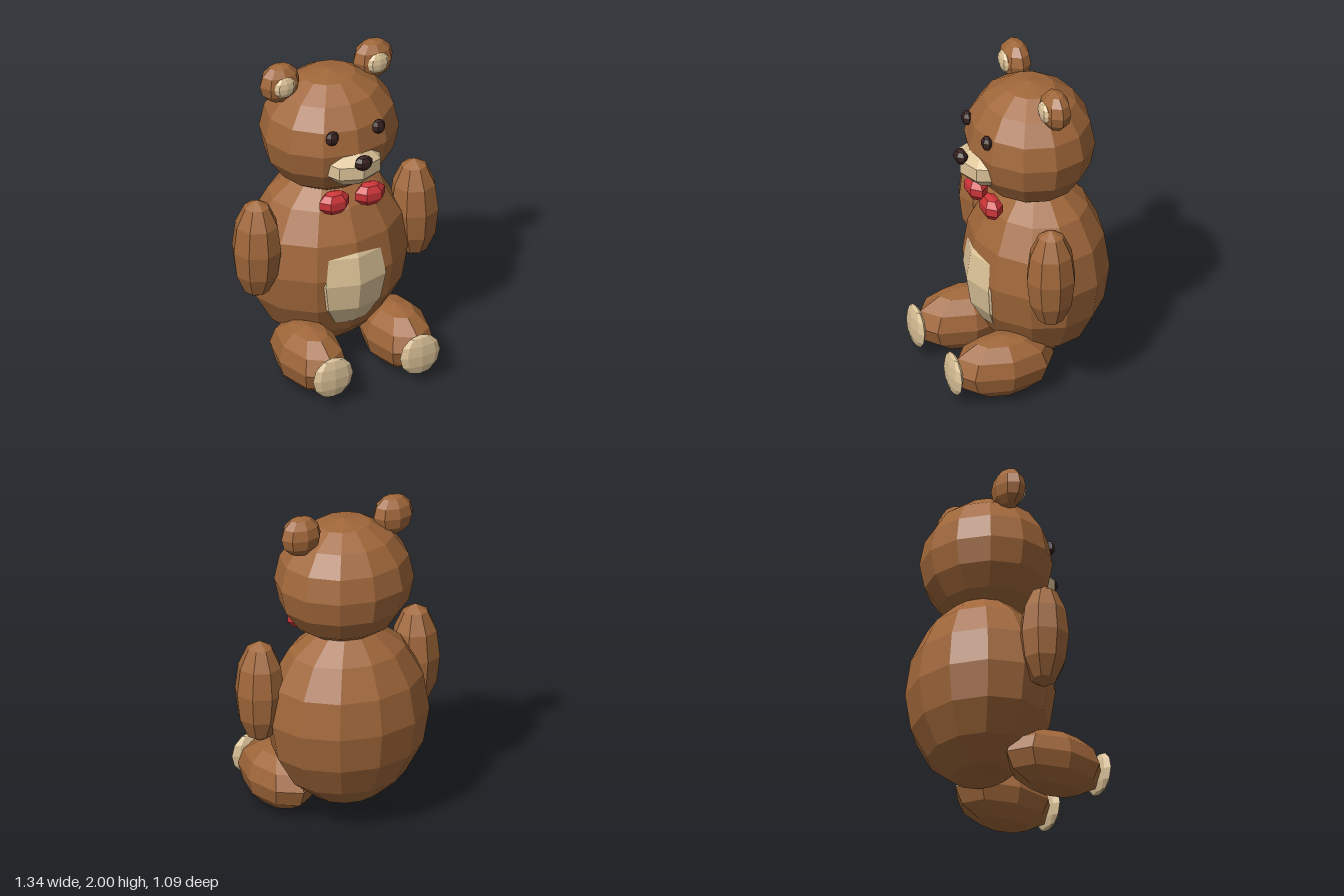
import * as THREE from 'three';

const material = (color) => new THREE.MeshStandardMaterial({ color, flatShading: true });

export function createModel() {
  const bear = new THREE.Group();
  bear.name = 'teddyBear';

  const fur = material(0xa0673a);
  const cream = material(0xdcc398);
  const dark = material(0x35211f);
  const red = material(0xcc3538);

  // Every part is a faceted ellipsoid: centre, radii, segments around and up
  function blob(name, mat, [x, y, z], [rx, ry, rz], around = 8, up = 6) {
    const geometry = new THREE.SphereGeometry(1, around, up);
    geometry.scale(rx, ry, rz);
    const mesh = new THREE.Mesh(geometry, mat);
    mesh.name = name;
    mesh.position.set(x, y, z);
    bear.add(mesh);
  }

  // Torso and head
  blob('body', fur, [0, 0.68, -0.13], [0.5, 0.575, 0.42], 12, 8);
  blob('head', fur, [0, 1.52, -0.09], [0.42, 0.385, 0.38], 12, 8);
  blob('bellyPatch', cream, [0, 0.64, 0.11], [0.28, 0.34, 0.2]);

  // Face
  blob('muzzle', cream, [0, 1.42, 0.18], [0.2, 0.13, 0.18], 8, 5);
  blob('nose', dark, [0, 1.49, 0.347], [0.06, 0.047, 0.042], 6, 5);

  // Mirrored parts
  for (const [side, s] of [['left', 1], ['right', -1]]) {
    blob(side + 'Ear', fur, [s * 0.308, 1.875, -0.125], [0.13, 0.125, 0.09]);
    blob(side + 'InnerEar', cream, [s * 0.308, 1.875, -0.055], [0.07, 0.068, 0.03]);
    blob(side + 'Eye', dark, [s * 0.153, 1.643, 0.245], [0.044, 0.046, 0.034], 6, 5);
    blob(side + 'BowLoop', red, [s * 0.118, 1.178, 0.202], [0.104, 0.075, 0.065], 6, 5);
    blob(side + 'Arm', fur, [s * 0.52, 0.87, -0.01], [0.15, 0.325, 0.152]);
    blob(side + 'Leg', fur, [s * 0.287, 0.195, 0.2], [0.193, 0.193, 0.325]);
    blob(side + 'FootPad', cream, [s * 0.287, 0.198, 0.51], [0.132, 0.132, 0.034]);
  }

  return bear;
}
